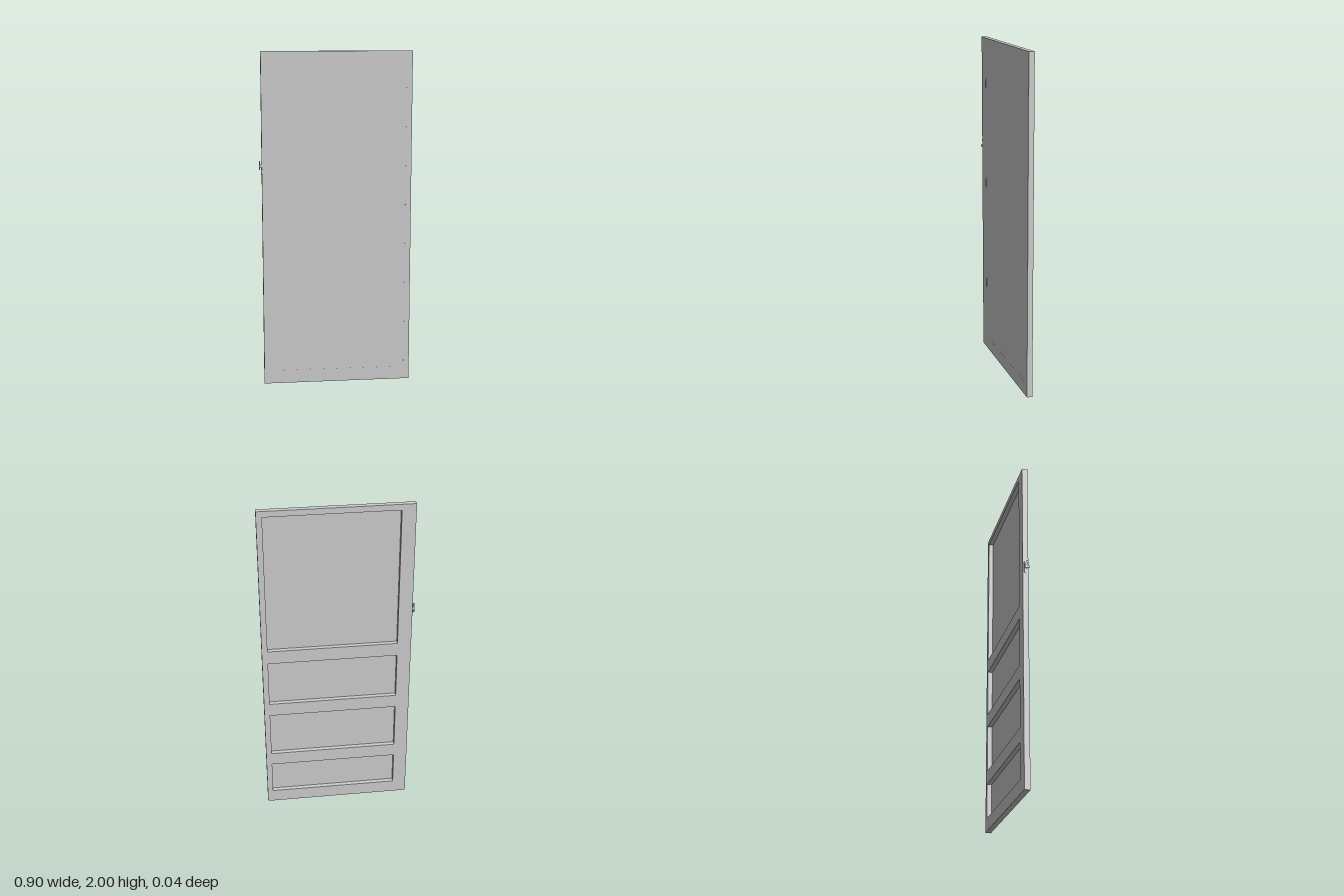
import * as THREE from 'three';

const material = new THREE.MeshStandardMaterial({ color: 0xcccccc });

// Door outline and the opening inside its frame
const door = { x0: -0.437, x1: 0.452, y0: 0, y1: 2, z0: -0.018, z1: 0.015 };
const hole = { x0: -0.355, x1: 0.418, y0: 0.08, y1: 1.965 };
const panelBack = 0.01;

function addMesh(parent, name, geometry) {
  const mesh = new THREE.Mesh(geometry, material);
  mesh.name = name;
  parent.add(mesh);
  return mesh;
}

function addBox(parent, name, x0, x1, y0, y1, z0, z1) {
  const mesh = addMesh(parent, name, new THREE.BoxGeometry(x1 - x0, y1 - y0, z1 - z0));
  mesh.position.set((x0 + x1) / 2, (y0 + y1) / 2, (z0 + z1) / 2);
  return mesh;
}

function rectangle(PathType, r) {
  return new PathType([
    new THREE.Vector2(r.x0, r.y0), new THREE.Vector2(r.x1, r.y0),
    new THREE.Vector2(r.x1, r.y1), new THREE.Vector2(r.x0, r.y1),
  ]);
}

// Small catch on the free edge: plate, pivot and turning lever
function createLatch() {
  const latch = new THREE.Group();
  latch.name = 'latch';

  // Plate with rounded ends, drawn in the z-y plane and extruded along x
  const plate = new THREE.Shape();
  plate.absarc(0, 0.03, 0.01, 0, Math.PI);
  plate.absarc(0, -0.03, 0.01, Math.PI, Math.PI * 2);
  const plateMesh = addMesh(latch, 'latchPlate',
    new THREE.ExtrudeGeometry(plate, { depth: 0.004, bevelEnabled: false, curveSegments: 8 }));
  plateMesh.rotation.y = -Math.PI / 2;
  plateMesh.position.set(-0.437, 1.325, 0);

  const pivot = addMesh(latch, 'latchPivot', new THREE.CylinderGeometry(0.01, 0.01, 0.009, 16));
  pivot.rotation.z = Math.PI / 2;
  pivot.position.set(-0.4435, 1.335, 0);

  const lever = addBox(latch, 'latchLever', -0.452, -0.446, 1.312, 1.364, -0.003, 0.007);
  lever.rotation.x = 0.25;
  addBox(latch, 'latchTip', -0.452, -0.447, 1.315, 1.328, -0.004, 0.018);
  return latch;
}

export function createModel() {
  const model = new THREE.Group();
  model.name = 'door';

  // Frame with a wide latch stile and a narrow hinge stile
  const shape = rectangle(THREE.Shape, door);
  shape.holes.push(rectangle(THREE.Path, hole));
  const frame = addMesh(model, 'frame',
    new THREE.ExtrudeGeometry(shape, { depth: door.z1 - door.z0, bevelEnabled: false }));
  frame.position.z = door.z0;

  // Thin panel closing the front of the opening
  addBox(model, 'panel', hole.x0, hole.x1, hole.y0, hole.y1, panelBack, door.z1 - 0.0003);

  // Cross rails behind the panel
  for (let i = 0; i < 3; i++) {
    const y = 0.29 + i * 0.37;
    addBox(model, 'crossRail' + (i + 1), hole.x0, hole.x1, y, y + 0.083, door.z0, panelBack);
  }

  model.add(createLatch());
  return model;
}
